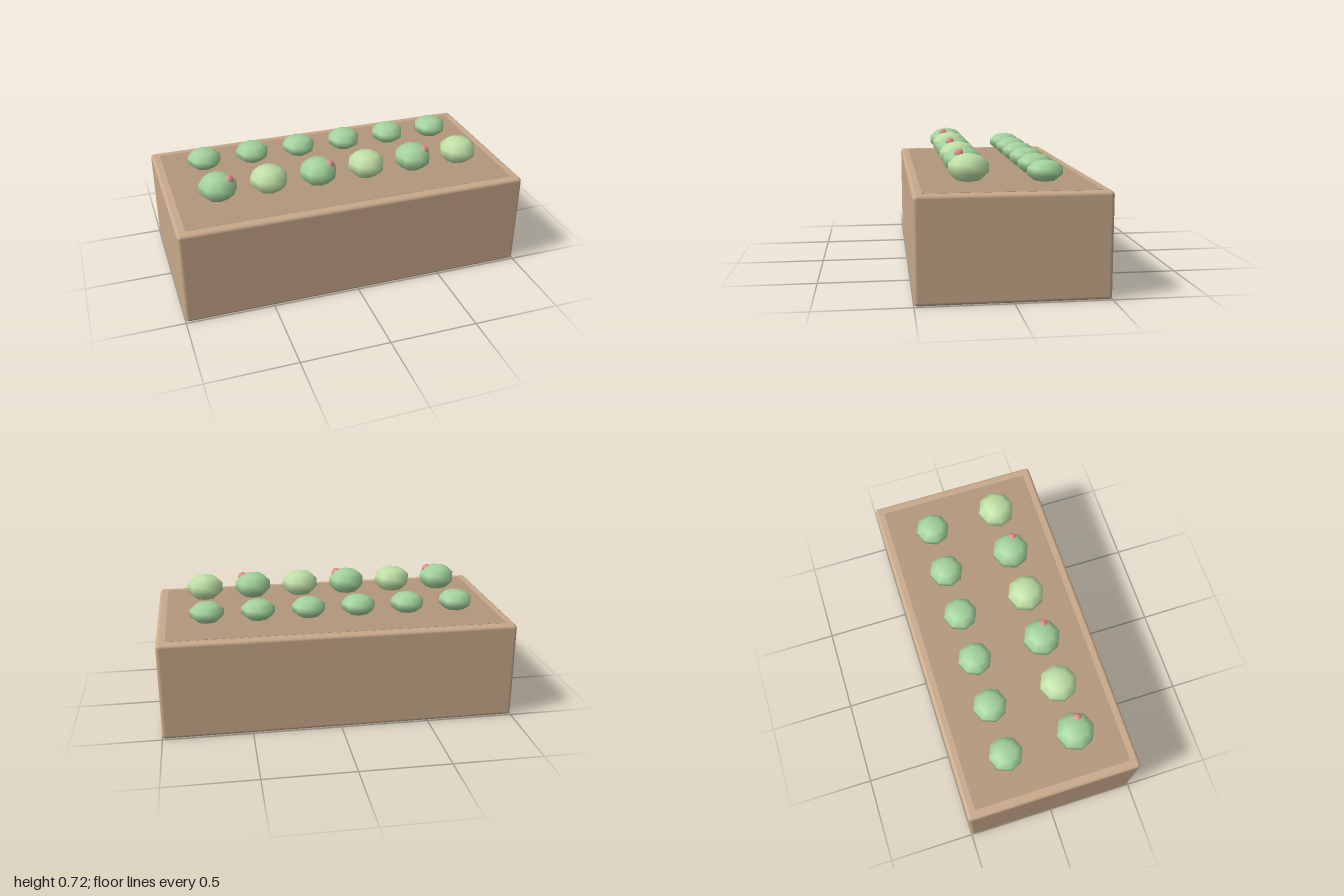
import * as THREE from 'three';
import { RoundedBoxGeometry } from 'three/addons/geometries/RoundedBoxGeometry.js';

const mat = (color) => new THREE.MeshStandardMaterial({ color });

export function createModel() {
  const group = new THREE.Group();
  const wood = mat(0xc8a98a);
  const soil = mat(0xb3967c);
  const green = mat(0xa2d29b);
  const lightGreen = mat(0xbfdfa5);
  const pink = mat(0xe58a8a);

  const add = (name, geometry, material, x, y, z) => {
    const mesh = new THREE.Mesh(geometry, material);
    mesh.name = name;
    mesh.position.set(x, y, z);
    group.add(mesh);
    return mesh;
  };

  // Planter box with softened edges
  add('planterBox', new RoundedBoxGeometry(2, 0.555, 1, 2, 0.02), wood, 0, 0.2775, 0);

  // Thin soil bed, practically flush with the rim
  add('soilBed', new THREE.BoxGeometry(1.9, 0.05, 0.9), soil, 0, 0.531, 0);

  // Flattened low-poly plants: tall row in front, lower row behind
  const frontPlant = new THREE.SphereGeometry(0.111, 8, 5).scale(1, 0.69, 1);
  const backPlant = new THREE.SphereGeometry(0.101, 8, 5).scale(1, 0.585, 1);
  const bud = new THREE.SphereGeometry(0.028, 8, 6);

  for (let i = 0; i < 6; i++) {
    const x = -0.72 + i * 0.288;
    const flowering = i % 2 === 0;
    add('frontPlant', frontPlant, flowering ? green : lightGreen, x, 0.647, 0.2);
    add('backPlant', backPlant, green, x, 0.624, -0.2);
    // Every other front plant carries a small bud
    if (flowering) add('bud', bud, pink, x + 0.058, 0.692, 0.226);
  }
  return group;
}
